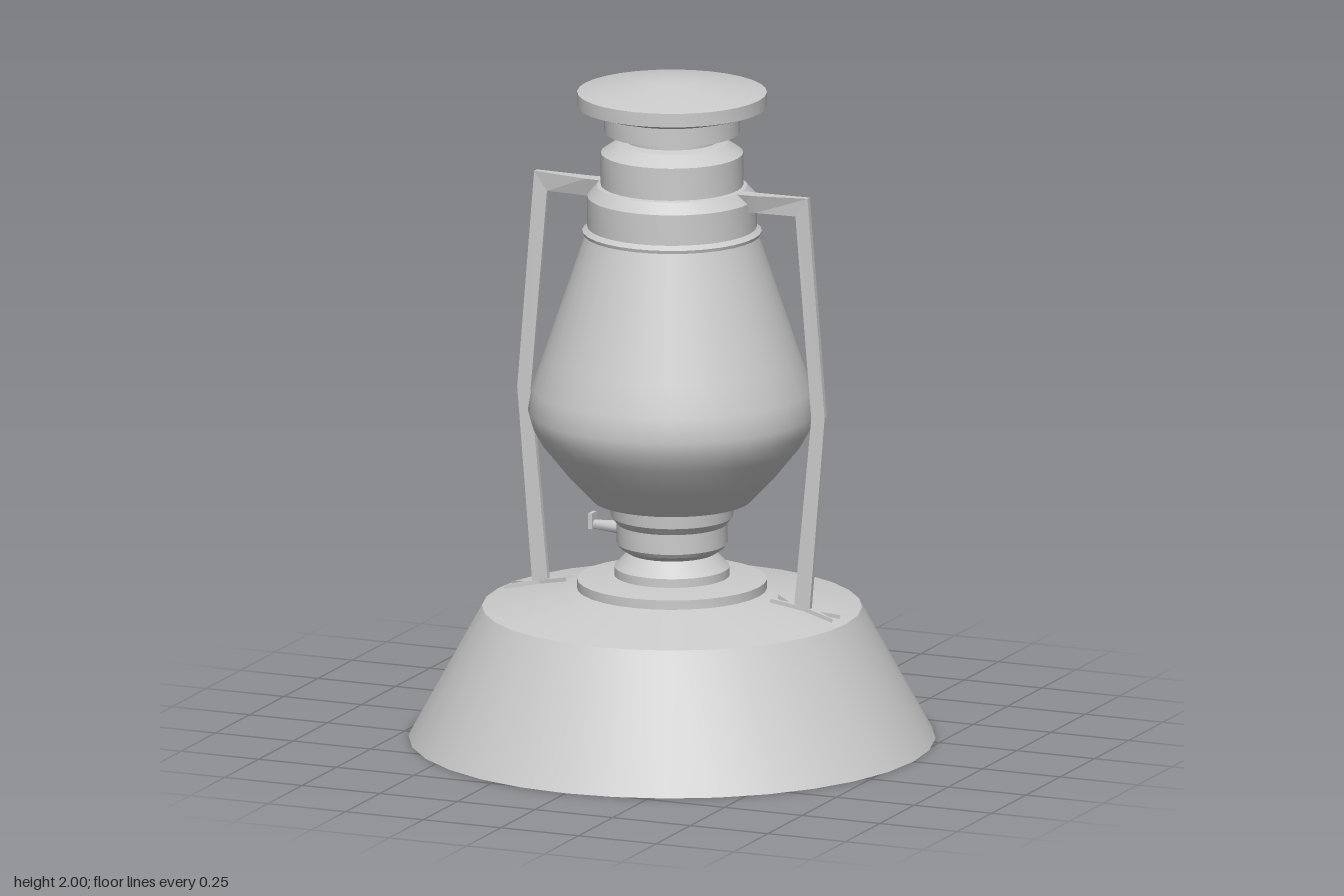
import * as THREE from 'three';
import { toCreasedNormals } from 'three/addons/utils/BufferGeometryUtils.js';

const SEGMENTS = 32;
const grey = new THREE.MeshStandardMaterial({ color: 0xcccccc });

function addMesh(parent, name, geometry) {
  const mesh = new THREE.Mesh(geometry, grey);
  mesh.name = name;
  parent.add(mesh);
  return mesh;
}

// Turned part from [radius, height] pairs, bottom to top
function turned(parent, name, profile, crease = 0.35) {
  const points = profile.map(([r, y]) => new THREE.Vector2(r, y));
  return addMesh(parent, name, toCreasedNormals(new THREE.LatheGeometry(points, SEGMENTS), crease));
}

// Strip swept through sections: outer x, y, half width, inner x, y, half width
function strip(sections) {
  const rings = sections.map(([ox, oy, ow, ix, iy, iw]) => [
    [ox, oy, ow], [ox, oy, -ow], [ix, iy, -iw], [ix, iy, iw],
  ]);
  const positions = [];
  for (let i = 0; i < rings.length - 1; i++) {
    for (let j = 0; j < 4; j++) {
      const k = (j + 1) % 4, a = rings[i], b = rings[i + 1];
      positions.push(...a[j], ...b[j], ...b[k], ...a[j], ...b[k], ...a[k]);
    }
  }
  const geometry = new THREE.BufferGeometry();
  geometry.setAttribute('position', new THREE.Float32BufferAttribute(positions, 3));
  geometry.computeVertexNormals();
  return geometry;
}

// Frame arm on the +x side with its forked foot
function createArm(name) {
  const arm = new THREE.Group();
  arm.name = name;
  addMesh(arm, 'frameStrip', strip([
    [0.2, 1.67, 0.026, 0.2, 1.615, 0.006],
    [0.27, 1.67, 0.022, 0.27, 1.615, 0.006],
    [0.44, 1.675, 0.009, 0.4, 1.617, 0.006],
    [0.495, 1.015, 0.008, 0.452, 1.01, 0.008],
    [0.446, 0.42, 0.008, 0.396, 0.43, 0.008],
  ]));

  const outline = [
    [-0.1, 0.028], [0, 0.007], [0.105, 0.028], [0.05, 0],
    [0.105, -0.028], [0, -0.007], [-0.1, -0.028], [-0.05, 0],
  ].map(([x, y]) => new THREE.Vector2(x, y));
  const footGeometry = new THREE.ExtrudeGeometry(new THREE.Shape(outline), {
    depth: 0.012, bevelEnabled: false,
  });
  footGeometry.rotateX(-Math.PI / 2);
  const foot = addMesh(arm, 'forkedFoot', footGeometry);
  foot.position.set(0.425, 0.424, 0);
  foot.rotation.z = -0.21;
  return arm;
}

export function createModel() {
  const lantern = new THREE.Group();
  lantern.name = 'lantern';

  // Fuel tank with sloped shoulder and collar
  turned(lantern, 'tank', [
    [0, 0], [0.777, 0], [0.56, 0.396], [0.28, 0.452], [0.28, 0.48], [0.17, 0.492], [0, 0.492],
  ], 0.2);

  // Burner between tank and globe
  turned(lantern, 'burner', [
    [0.17, 0.485], [0.17, 0.518], [0.13, 0.562], [0.155, 0.578], [0.163, 0.59],
    [0.163, 0.65], [0.18, 0.672], [0.185, 0.73],
  ]);

  // Globe
  turned(lantern, 'globe', [
    [0, 0.722], [0.235, 0.722], [0.31, 0.802], [0.385, 0.895], [0.413, 0.945], [0.425, 0.99],
    [0.413, 1.06], [0.38, 1.155], [0.255, 1.525],
  ], 0.6);

  // Upper collar, stepped chimney and its neck
  turned(lantern, 'chimney', [
    [0.24, 1.522], [0.262, 1.526], [0.265, 1.536], [0.25, 1.548], [0.25, 1.64], [0.222, 1.672],
    [0.21, 1.675], [0.21, 1.772], [0.165, 1.803], [0.138, 1.81], [0.138, 1.84],
  ]);

  // Chimney cap
  turned(lantern, 'cap', [
    [0, 1.835], [0.2, 1.835], [0.2, 1.89], [0.25, 1.904], [0.28, 1.914],
    [0.28, 1.955], [0.09, 1.994], [0, 2],
  ], 0.3);

  // Side frame arms
  lantern.add(createArm('leftArm'));
  const rightArm = createArm('rightArm');
  rightArm.rotation.y = Math.PI;
  lantern.add(rightArm);

  // Wick adjuster
  const stemGeometry = new THREE.CylinderGeometry(0.013, 0.023, 0.11, 8);
  stemGeometry.rotateZ(Math.PI / 2);
  addMesh(lantern, 'wickStem', toCreasedNormals(stemGeometry, 0.9)).position.set(-0.2, 0.62, 0);
  const thumb = addMesh(lantern, 'wickThumbPiece', new THREE.BoxGeometry(0.012, 0.048, 0.035));
  thumb.position.set(-0.256, 0.632, 0);

  return lantern;
}
